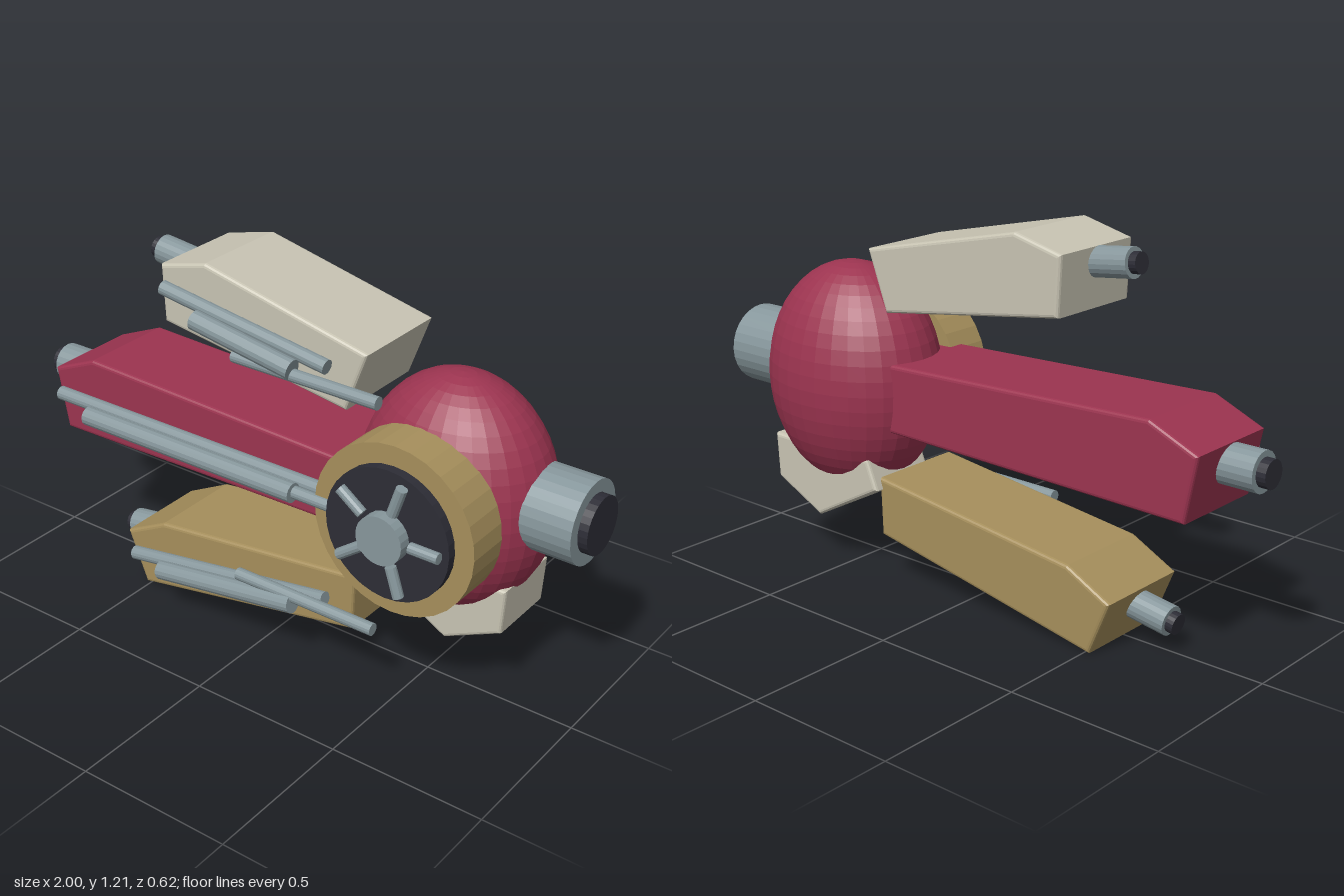
import * as THREE from 'three';

const mat = (name, color, flatShading = false) => {
  const m = new THREE.MeshStandardMaterial({ color });
  m.name = name;
  m.flatShading = flatShading;
  return m;
};

export function createModel() {
  const red = mat('crimson', 0x9c3450, true);
  const cream = mat('cream', 0xc8c4b3, true);
  const tan = mat('tan', 0xa68f5c, true);
  const steel = mat('steel', 0x87979c, true);
  const dark = mat('dark', 0x2d2d36, true);

  const model = new THREE.Group();
  model.name = 'clawMachine';

  const add = (parent, name, geometry, material) => {
    const mesh = new THREE.Mesh(geometry, material);
    mesh.name = name;
    parent.add(mesh);
    return mesh;
  };

  // Cylinder running between two points
  const rod = (parent, name, a, b, radius, material, sides = 20) => {
    const from = new THREE.Vector3(...a);
    const dir = new THREE.Vector3(...b).sub(from);
    const mesh = add(parent, name, new THREE.CylinderGeometry(radius, radius, dir.length(), sides), material);
    mesh.position.copy(from).addScaledVector(dir, 0.5);
    mesh.quaternion.setFromUnitVectors(new THREE.Vector3(0, 1, 0), dir.normalize());
    return mesh;
  };

  // Bevelled side profile extruded from z0 to z1
  const slab = (parent, name, points, z0, z1, material) => {
    const bevel = 0.012;
    const shape = new THREE.Shape(points.map(([x, y]) => new THREE.Vector2(x, y)));
    const geometry = new THREE.ExtrudeGeometry(shape, {
      depth: z1 - z0 - 2 * bevel, bevelEnabled: true, bevelSize: bevel,
      bevelThickness: bevel, bevelOffset: -bevel, bevelSegments: 3,
    });
    geometry.translate(0, 0, z0 + bevel);
    return add(parent, name, geometry, material);
  };

  // Body
  const body = add(model, 'body', new THREE.SphereGeometry(1, 32, 24), red);
  body.scale.set(0.313, 0.375, 0.247);
  body.position.set(0.535, 0.625, -0.063);
  slab(model, 'bellyPlate',
    [[0.31, 0.31], [0.575, 0.165], [0.765, 0.255], [0.775, 0.405], [0.35, 0.405]], -0.207, 0.042, cream);

  // Side port
  rod(model, 'portCollar', [0.78, 0.655, -0.075], [0.97, 0.655, -0.075], 0.13, steel, 28);
  rod(model, 'portLens', [0.95, 0.655, -0.075], [1, 0.655, -0.075], 0.09, dark, 28);

  // Front wheel: ring, face, hub and five spokes
  const wheel = new THREE.Group();
  wheel.name = 'wheel';
  wheel.position.set(0.513, 0.615, 0);
  model.add(wheel);
  rod(wheel, 'wheelRing', [0, 0, 0.1], [0, 0, 0.245], 0.27, tan, 32);
  rod(wheel, 'wheelFace', [0, 0, 0.2], [0, 0, 0.275], 0.208, dark, 32);
  rod(wheel, 'wheelHub', [0, 0, 0.26], [0, 0, 0.315], 0.077, steel, 24);
  for (let i = 0; i < 5; i++) {
    const a = (i * Math.PI * 2) / 5;
    const at = (r) => [r * Math.cos(a), r * Math.sin(a), 0.29];
    rod(wheel, 'wheelSpoke', at(0.09), at(0.185), 0.0175, steel, 12);
  }

  // Three arms, each with a nozzle and a stack of pistons
  const arms = [
    {
      name: 'upperArm', material: cream,
      profile: [[-0.385, 0.985], [0.285, 0.888], [0.357, 1.08], [-0.225, 1.21], [-0.395, 1.168]],
      nozzle: [[-0.35, 1.117], [-0.52, 1.137], [-0.545, 1.14]], radius: 0.046,
      sleeve: [[-0.367, 1.108], [0.237, 1.02]],
      piston: [[-0.19, 1.075], [0.165, 1.017]],
      pushRod: [[-0.05, 0.997], [0.455, 0.997]],
    },
    {
      name: 'middleArm', material: red,
      profile: [[-0.83, 0.485], [0.38, 0.505], [0.38, 0.722], [-0.705, 0.76], [-0.87, 0.69]],
      nozzle: [[-0.8, 0.625], [-0.97, 0.625], [-1, 0.625]], radius: 0.062,
      sleeve: [[-0.828, 0.62], [0.237, 0.62]],
      piston: [[-0.647, 0.62], [0.168, 0.62]],
      pushRod: [[0.1, 0.62], [0.455, 0.62]],
    },
    {
      name: 'lowerArm', material: tan,
      profile: [[-0.515, 0], [0.32, 0.153], [0.327, 0.345], [-0.43, 0.255], [-0.587, 0.175]],
      nozzle: [[-0.52, 0.121], [-0.685, 0.096], [-0.71, 0.092]], radius: 0.047,
      sleeve: [[-0.537, 0.118], [0.237, 0.243]],
      piston: [[-0.365, 0.15], [0.165, 0.233]],
      pushRod: [[-0.05, 0.255], [0.455, 0.255]],
    },
  ];
  for (const arm of arms) {
    const group = new THREE.Group();
    group.name = arm.name;
    model.add(group);
    const at = (p, z) => [p[0], p[1], z];
    const [root, mouth, tip] = arm.nozzle;
    slab(group, 'armShell', arm.profile, -0.175, 0.16, arm.material);
    rod(group, 'nozzle', at(root, 0), at(mouth, 0), arm.radius, steel);
    rod(group, 'nozzleTip', at(mouth, 0), at(tip, 0), arm.radius * 0.7, dark);
    rod(group, 'sleeve', at(arm.sleeve[0], 0.182), at(arm.sleeve[1], 0.182), 0.023, steel, 16);
    rod(group, 'piston', at(arm.piston[0], 0.25), at(arm.piston[1], 0.25), 0.031, steel, 16);
    rod(group, 'pushRod', at(arm.pushRod[0], 0.243), at(arm.pushRod[1], 0.243), 0.02, steel, 16);
  }

  return model;
}
